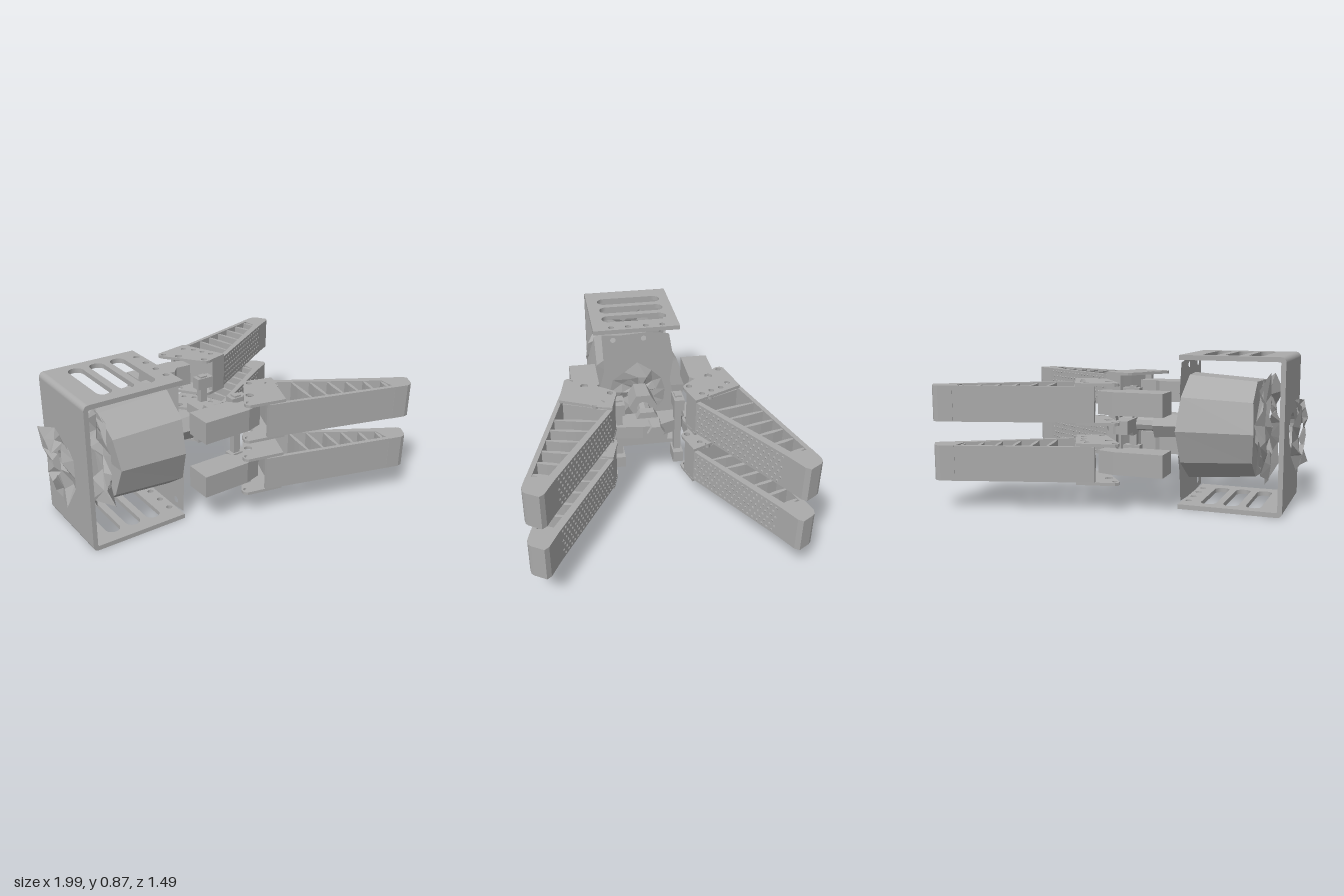
import * as THREE from 'three';
import { mergeGeometries } from 'three/addons/utils/BufferGeometryUtils.js';

const grey = new THREE.MeshStandardMaterial({ color: 0xaaaaaa, side: THREE.DoubleSide, flatShading: true });
grey.name = 'machined grey';

// small seeded random for the torn edges
let seed = 7;
const rnd = () => ((seed = (seed * 16807) % 2147483647) / 2147483647);

function add(parent, name, geo, x = 0, y = 0, z = 0) {
  const m = new THREE.Mesh(geo, grey);
  m.name = name;
  m.position.set(x, y, z);
  parent.add(m);
  return m;
}

const box = (parent, name, x0, x1, y0, y1, z0, z1) =>
  add(parent, name, new THREE.BoxGeometry(x1 - x0, y1 - y0, z1 - z0), (x0 + x1) / 2, (y0 + y1) / 2, (z0 + z1) / 2);

function circle(x, y, r) {
  const p = new THREE.Path();
  p.absarc(x, y, r, 0, Math.PI * 2, true);
  return p;
}

// straight slot running along the second axis
function slot(x, a, b, r) {
  const p = new THREE.Path();
  p.absarc(x, b - r, r, 0, Math.PI, false);
  p.absarc(x, a + r, r, Math.PI, Math.PI * 2, false);
  p.closePath();
  return p;
}

// outline in (x, z) extruded between two heights
function slab(points, y0, y1, holes = []) {
  const s = new THREE.Shape(points.map(p => new THREE.Vector2(p[0], p[1])));
  s.holes = holes;
  const g = new THREE.ExtrudeGeometry(s, { depth: y1 - y0, bevelEnabled: false, curveSegments: 10 });
  return g.rotateX(Math.PI / 2).translate(0, y1, 0);
}

// uneven ring facing along x, with torn inner and outer edges
function raggedRing(rOut, rIn, n, jitter, depth) {
  const pos = [], idx = [];
  for (let i = 0; i < n; i++) {
    const a = (i / n) * Math.PI * 2;
    [rIn, (rIn + rOut) / 2, rOut].forEach(r => {
      const q = r * (1 - jitter * rnd());
      pos.push((rnd() - 0.5) * depth, Math.sin(a) * q, Math.cos(a) * q);
    });
    const j = (i + 1) % n;
    for (let k = 0; k < 2; k++) {
      const p = i * 3 + k, q = j * 3 + k;
      idx.push(p, q, p + 1, q, q + 1, p + 1);
    }
  }
  const g = new THREE.BufferGeometry();
  g.setAttribute('position', new THREE.Float32BufferAttribute(pos, 3));
  g.setIndex(idx);
  g.computeVertexNormals();
  return g;
}

const rodX = (rFront, rBack, len, sides) =>
  new THREE.CylinderGeometry(rFront, rBack, len, sides).rotateZ(-Math.PI / 2);

function makeBracket() {
  const g = new THREE.Group();
  g.name = 'bracket';
  // slotted top and bottom plates
  const outline = [[-0.89, -0.27], [-0.33, -0.27], [-0.33, 0.27], [-0.89, 0.27]];
  const holes = () => [
    ...[-0.745, -0.615, -0.485].map(x => slot(x, -0.21, 0.2, 0.044)),
    ...[-0.165, -0.06, 0.05, 0.155].map(z => circle(-0.365, z, 0.018)),
  ];
  add(g, 'topPlate', slab(outline, 0.85, 0.877, holes()));
  add(g, 'bottomPlate', slab(outline, 0.005, 0.032, holes()));
  // rear plate with shaft opening
  const s = new THREE.Shape([[-0.27, 0.035], [0.27, 0.035], [0.27, 0.847], [-0.27, 0.847]].map(p => new THREE.Vector2(...p)));
  s.holes = [circle(0, 0.45, 0.1)];
  const rear = new THREE.ExtrudeGeometry(s, { depth: 0.027, bevelEnabled: false });
  add(g, 'rearPlate', rear.rotateY(Math.PI / 2), -0.92);
  // rounded bends
  [[0.847, 1], [0.035, -1]].forEach(([y, d]) => {
    const c = new THREE.Shape();
    c.absarc(0, 0, 0.03, Math.PI / 2, Math.PI, false);
    c.lineTo(0, 0);
    const bend = add(g, 'bend', new THREE.ExtrudeGeometry(c, { depth: 0.54, bevelEnabled: false }), -0.89, y, -0.27);
    if (d < 0) { bend.rotation.x = Math.PI; bend.position.z = 0.27; }
  });
  return g;
}

function makeMotor() {
  const g = new THREE.Group();
  g.name = 'motor';
  // body with slightly uneven rims
  const body = rodX(0.315, 0.285, 0.41, 10);
  const p = body.attributes.position;
  for (let i = 0; i < p.count; i++) {
    const a = Math.atan2(p.getZ(i), p.getY(i));
    p.setX(i, p.getX(i) + 0.012 * Math.sin(3 * a) * Math.sign(p.getX(i)));
  }
  add(g, 'motorBody', body, -0.54, 0.455);
  add(g, 'rearCap', raggedRing(0.35, 0.17, 17, 0.25, 0.085), -0.795, 0.455);
  add(g, 'rearCapInner', raggedRing(0.29, 0.2, 13, 0.15, 0.05), -0.77, 0.455);
  add(g, 'rearCoupling', raggedRing(0.245, 0.085, 13, 0.3, 0.06), -0.965, 0.45);
  add(g, 'frontFlange', raggedRing(0.21, 0.05, 12, 0.2, 0.04), -0.305, 0.45);
  // torn front plate
  const s = new THREE.Shape([[-0.25, 0.04], [-0.06, 0.02], [0.2, 0.035], [0.22, 0.2], [0.25, 0.3], [0.21, 0.5],
    [0.23, 0.66], [0.2, 0.83], [0.07, 0.85], [-0.1, 0.84], [-0.22, 0.85], [-0.21, 0.6], [-0.26, 0.4]].map(q => new THREE.Vector2(...q)));
  s.holes = [circle(0, 0.45, 0.16), circle(-0.15, 0.81, 0.017), circle(0.04, 0.81, 0.017),
    circle(-0.17, 0.08, 0.02), circle(0, 0.17, 0.018)];
  add(g, 'frontPlate', new THREE.ShapeGeometry(s).rotateY(Math.PI / 2), -0.325);
  return g;
}

function makeDrive() {
  const g = new THREE.Group();
  g.name = 'drive';
  add(g, 'hub', rodX(0.088, 0.075, 0.17, 6), -0.2, 0.445, -0.005);
  add(g, 'shaft', rodX(0.04, 0.04, 0.22, 8), -0.02, 0.44, -0.005);
  // crosspiece pushing both finger pairs
  add(g, 'crosspiece', slab([[0, -0.2], [0.07, -0.21], [0.1, -0.19], [0.16, -0.04], [0.16, 0.04], [0.14, 0.19],
    [0.11, 0.21], [0.01, 0.17]], 0.4, 0.48));
  add(g, 'collar', rodX(0.085, 0.085, 0.05, 6), 0.045, 0.445);
  add(g, 'nut', rodX(0.05, 0.06, 0.08, 6), 0.14, 0.44, -0.035);
  for (const z of [-0.175, 0.175]) {
    box(g, 'linkPost', 0.075, 0.12, 0.22, 0.65, z - 0.02, z + 0.02);
    for (const y of [0.225, 0.59]) box(g, 'linkBlock', 0.05, 0.16, y - 0.02, y + 0.05, z - 0.03, z + 0.03);
  }
  return g;
}

// one ribbed finger; y0 is its underside, side is +1 or -1 along z
function makeFinger(y0, side) {
  const g = new THREE.Group();
  g.name = 'finger';
  const y1 = y0 + 0.2;
  const flip = pts => pts.map(([x, z]) => [x, z * side]);
  // mounting arm
  add(g, 'arm', slab(flip([[-0.29, 0.27], [-0.04, 0.27], [0, 0.315], [0.1, 0.31], [0.1, 0.4], [0, 0.43], [-0.29, 0.43]]),
    y0 + 0.035, y0 + 0.165));
  // drilled cheek plates
  const cheek = flip([[-0.04, 0.43], [0.125, 0.21], [0.145, 0.195], [0.17, 0.195], [0.31, 0.235], [0.185, 0.52], [-0.03, 0.475], [-0.045, 0.455]]);
  const drill = [[0.05, 0.365, 0.023], [0.15, 0.228, 0.018], [-0.015, 0.44, 0.016], [0.24, 0.285, 0.016],
    [0.215, 0.345, 0.016], [0.19, 0.405, 0.016], [0.145, 0.455, 0.016], [0.27, 0.325, 0.014]];
  [[y0 - 0.017, y0], [y1, y1 + 0.017]].forEach(([a, b]) =>
    add(g, 'cheekPlate', slab(cheek, a, b, drill.map(([x, z, r]) => circle(x, z * side, r)))));
  // base block, walls and tip
  add(g, 'fingerBase', slab(flip([[0.18, 0.35], [0.235, 0.222], [0.305, 0.24], [0.2, 0.5], [0.13, 0.48]]), y0 + 0.001, y1 - 0.001));
  add(g, 'innerWall', slab(flip([[0.2, 0.205], [0.31, 0.237], [0.88, 0.585], [0.87, 0.63], [0.3, 0.263], [0.19, 0.23]]), y0, y1));
  add(g, 'outerWall', slab(flip([[0.085, 0.48], [0.85, 0.7], [0.84, 0.725], [0.08, 0.503]]), y0, y1));
  add(g, 'fingerTip', slab(flip([[0.84, 0.61], [0.88, 0.585], [0.98, 0.64], [0.998, 0.665], [0.96, 0.728], [0.945, 0.742],
    [0.915, 0.747], [0.835, 0.725]]), y0, y1));
  // ribs, thickened at mid span
  for (let i = 0; i < 6; i++) {
    const xa = 0.4 + i * 0.09, za = 0.25 + (xa - 0.31) * 0.62;
    const xb = 0.345 + i * 0.093, zb = 0.49 + (xb - 0.085) * 0.29;
    const at = (t, w) => [xa + (xb - xa) * t + w, za + (zb - za) * t];
    add(g, 'rib', slab(flip([at(0, -0.005), at(0.4, -0.011), at(0.6, -0.011), at(1, -0.005),
      at(1, 0.005), at(0.6, 0.011), at(0.4, 0.011), at(0, 0.005)]), y0 + 0.005, y1 - 0.005));
  }
  // grip studs on the inner face
  const studs = [], a = new THREE.Vector3(0.31, 0, 0.237 * side), b = new THREE.Vector3(0.88, 0, 0.585 * side);
  const n = new THREE.Vector3(b.z - a.z, 0, -(b.x - a.x)).multiplyScalar(side).normalize();
  n.set(Math.abs(n.x), 0, -Math.abs(n.z) * side);
  const turn = new THREE.Quaternion().setFromUnitVectors(new THREE.Vector3(0, 1, 0), n);
  for (let c = 0; c < 18; c++) for (let r = 0; r < 6; r++) {
    const q = a.clone().lerp(b, (c + 0.5 + (r % 2) * 0.5) / 19).addScaledVector(n, 0.003);
    const stud = new THREE.ConeGeometry(0.009, 0.006, 4).applyQuaternion(turn);
    studs.push(stud.translate(q.x, y0 + 0.02 + r * 0.032, q.z));
  }
  add(g, 'gripStuds', mergeGeometries(studs));
  return g;
}

export function createModel() {
  const model = new THREE.Group();
  model.name = 'gripper';
  model.add(makeBracket(), makeMotor(), makeDrive());
  for (const y of [0.175, 0.51]) for (const side of [1, -1]) model.add(makeFinger(y, side));
  return model;
}
